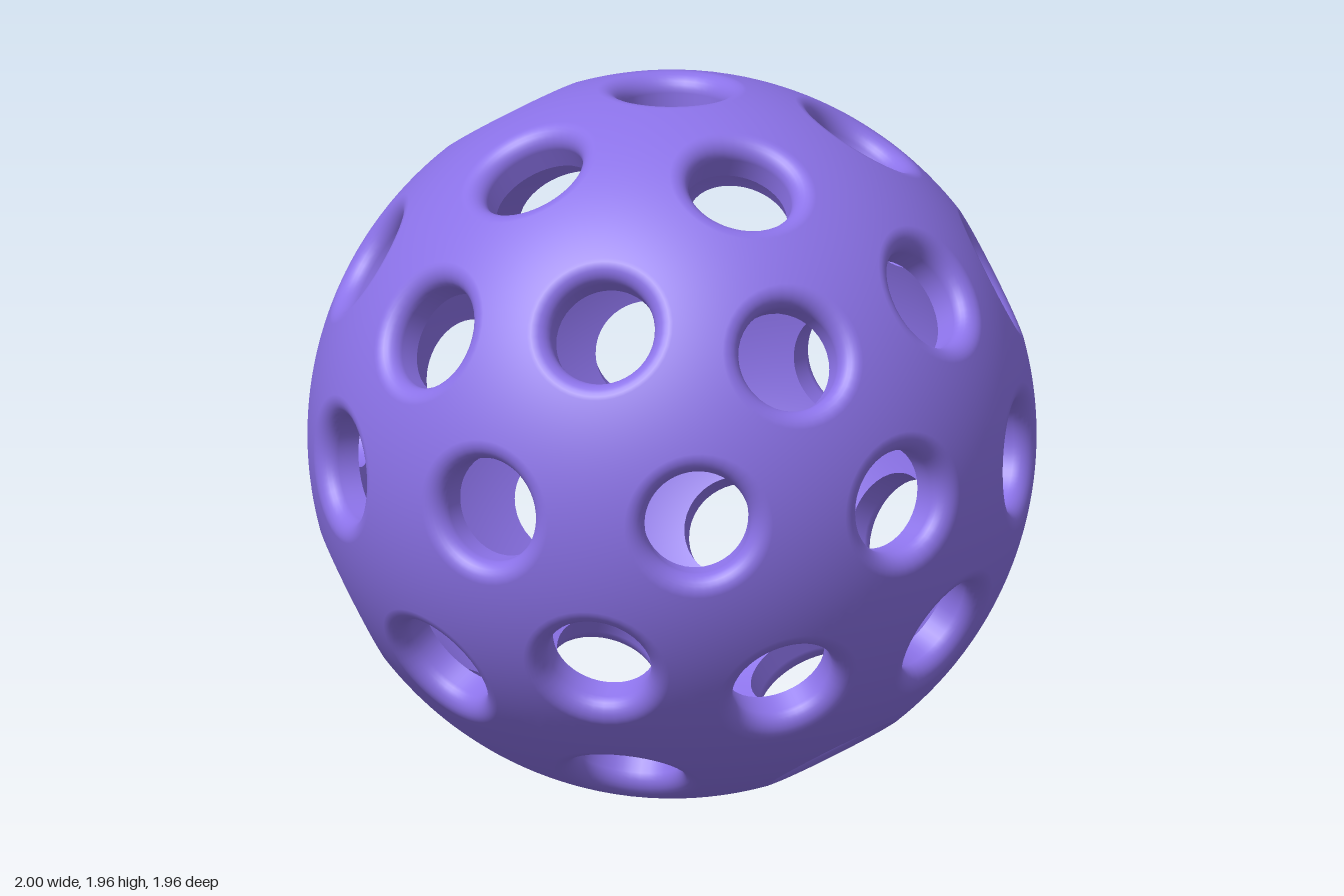
import * as THREE from 'three';

const R = 1;            // outer radius of the shell
const RI = 0.882;       // inner radius of the shell
const HOLE = 0.145;     // hole radius
const FILLET = 0.05;    // rounding of the outer rim
const EDGE_STEPS = 8;   // points along each side of a cell

// 42 hole axes: the corners and edge midpoints of an icosahedron standing on one corner
function holeAxes() {
  const corners = [new THREE.Vector3(0, 1, 0), new THREE.Vector3(0, -1, 0)];
  const y = 1 / Math.sqrt(5);
  for (let k = 0; k < 5; k++) {
    const a = (k * 2 * Math.PI) / 5;
    const v = new THREE.Vector3(2 * y * Math.cos(a), y, 2 * y * Math.sin(a));
    corners.push(v, v.clone().negate());
  }
  const axes = [...corners];
  corners.forEach((a, i) => corners.slice(i + 1).forEach((b) => {
    if (a.dot(b) > 0.4) axes.push(a.clone().add(b).normalize());
  }));
  return axes;
}

// Outline of the patch of sphere that belongs to one hole, counter-clockwise from outside
function cellOutline(axis, axes) {
  const e1 = new THREE.Vector3(0.31, 0.52, 0.79).cross(axis).normalize();
  const e2 = axis.clone().cross(e1);
  const angle = (v) => Math.atan2(v.dot(e2), v.dot(e1));
  const near = axes.filter((v) => v !== axis && v.dot(axis) > Math.SQRT1_2)
    .sort((a, b) => angle(a) - angle(b));
  const corners = near.map((n, i) => {
    const m = near[(i + 1) % near.length];
    return n.clone().sub(axis).cross(m.clone().sub(axis)).normalize();
  });
  const outline = [];
  corners.forEach((c, i) => {
    const next = corners[(i + 1) % corners.length];
    for (let s = 0; s < EDGE_STEPS; s++) {
      outline.push(c.clone().lerp(next, s / EDGE_STEPS).normalize());
    }
  });
  return outline;
}

// Section through the shell: [distance from axis, height, normal out, normal up]
function section(edgeAngle) {
  const rows = [];
  const onSphere = (r, t, sign) =>
    rows.push([r * Math.sin(t), r * Math.cos(t), sign * Math.sin(t), sign * Math.cos(t)]);

  // inside of the shell, running in to the hole
  const innerAngle = Math.asin(HOLE / RI);
  for (let i = 0; i <= 3; i++) onSphere(RI, THREE.MathUtils.lerp(edgeAngle, innerAngle, i / 3), -1);

  // straight wall, then the rounded rim that runs tangent into the outside
  const a = HOLE + FILLET;
  const h = Math.sqrt((R - FILLET) ** 2 - a * a);
  const contact = Math.asin(a / (R - FILLET));
  rows.push([HOLE, RI * Math.cos(innerAngle), -1, 0]);
  for (let i = 0; i <= 8; i++) {
    const t = THREE.MathUtils.lerp(-Math.PI / 2, contact, i / 8);
    rows.push([a + FILLET * Math.sin(t), h + FILLET * Math.cos(t), Math.sin(t), Math.cos(t)]);
  }

  // outside of the shell
  for (let i = 1; i <= 4; i++) onSphere(R, THREE.MathUtils.lerp(contact, edgeAngle, i / 4), 1);
  return rows;
}

function shellGeometry() {
  const position = [], normal = [], index = [];
  const axes = holeAxes();
  const v = new THREE.Vector3();
  for (const axis of axes) {
    const outline = cellOutline(axis, axes);
    const start = position.length / 3;
    let rowCount = 0;
    for (const p of outline) {
      const out = p.clone().addScaledVector(axis, -p.dot(axis)).normalize();
      const rows = section(p.angleTo(axis));
      rowCount = rows.length;
      for (const [x, y, nx, ny] of rows) {
        position.push(...v.set(0, 0, 0).addScaledVector(out, x).addScaledVector(axis, y));
        normal.push(...v.set(0, 0, 0).addScaledVector(out, nx).addScaledVector(axis, ny));
      }
    }
    for (let i = 0; i < outline.length; i++) {
      const col = start + i * rowCount;
      const nextCol = start + ((i + 1) % outline.length) * rowCount;
      for (let j = 0; j < rowCount - 1; j++) {
        if (j === 3) continue; // sharp inner edge: the two rows coincide
        index.push(col + j, col + j + 1, nextCol + j + 1);
        index.push(col + j, nextCol + j + 1, nextCol + j);
      }
    }
  }
  const geometry = new THREE.BufferGeometry();
  geometry.setAttribute('position', new THREE.Float32BufferAttribute(position, 3));
  geometry.setAttribute('normal', new THREE.Float32BufferAttribute(normal, 3));
  geometry.setIndex(index);
  return geometry;
}

export function createModel() {
  const group = new THREE.Group();
  group.name = 'perforatedBall';
  const shell = new THREE.Mesh(shellGeometry(), new THREE.MeshStandardMaterial({ color: 0x8b72e8 }));
  shell.name = 'perforatedShell';
  // rest on the rim of the lowest hole
  shell.position.y = Math.sqrt((R - FILLET) ** 2 - (HOLE + FILLET) ** 2) + FILLET;
  group.add(shell);
  return group;
}
